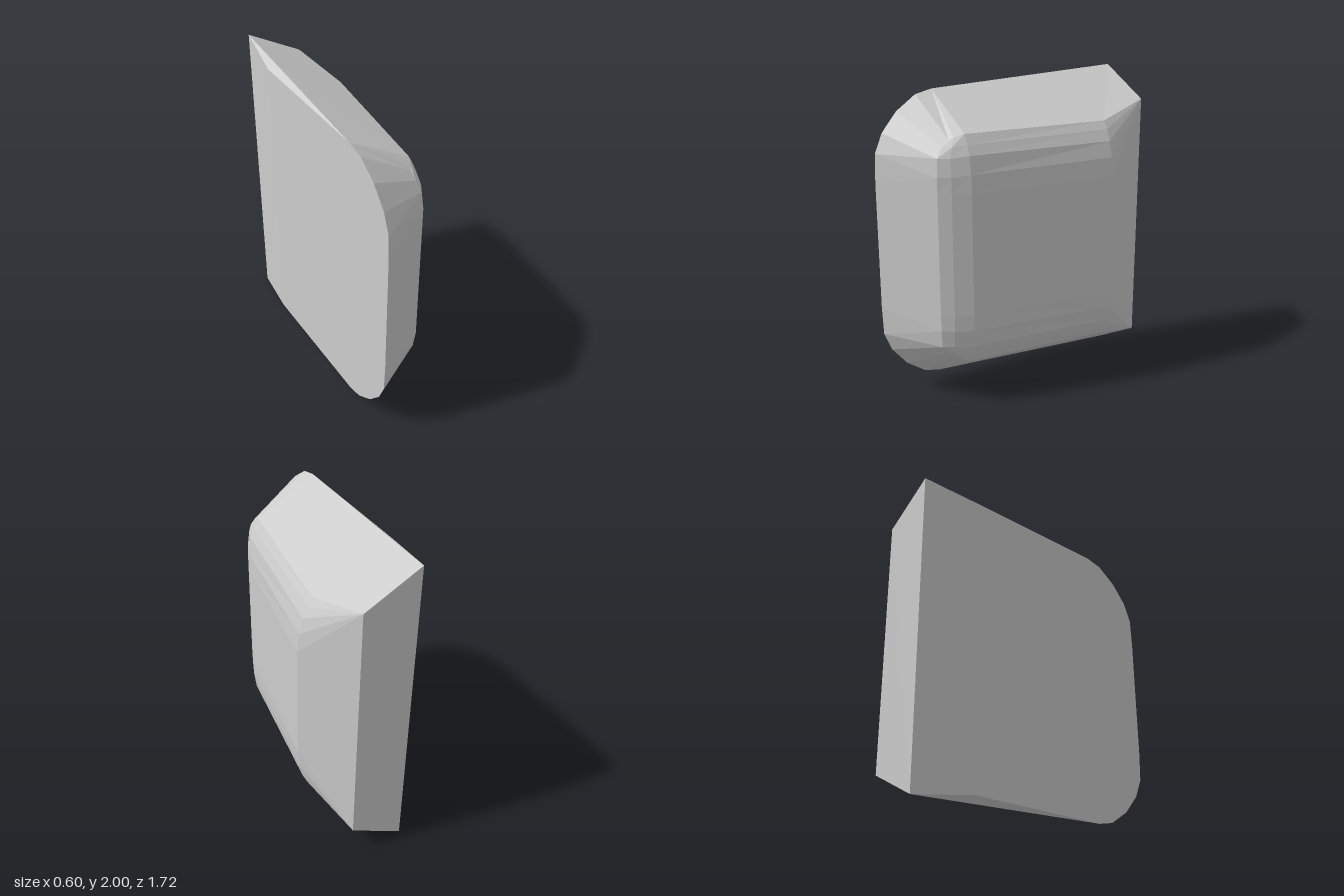
import * as THREE from 'three';

export function createModel() {
  const grey = new THREE.MeshStandardMaterial({ color: 0xcccccc, flatShading: true });
  grey.name = 'light grey';
  const group = new THREE.Group();
  group.name = 'beveledShell';

  const V = (x, y, z) => new THREE.Vector3(x, y, z);
  const flip = (p) => V(p.x, 2 - p.y, p.z);

  // Each line runs from the back edge, over the ridge, to the front rim
  const backTop = V(-0.24, 2, -0.86), rimBack = V(-0.3, 1.945, -0.48), rimFront = V(-0.3, 1.935, 0.46);
  const backEdge = V(0.11, 1.81, -0.86);
  const edge = [backTop, backTop.clone().lerp(rimFront, 0.29), rimFront, rimFront, rimFront, rimFront];
  const upper = [
    [V(0.2, 1.72, -0.48), V(0.085, 1.72, 0.46), V(0.06, 1.7, 0.52), V(0.04, 1.69, 0.54), V(-0.3, 1.91, 0.57)],
    [V(0.23, 1.67, -0.48), V(0.115, 1.66, 0.46), V(0.085, 1.65, 0.545), V(0.045, 1.65, 0.59), V(-0.3, 1.82, 0.7)],
    [V(0.262, 1.6, -0.48), V(0.14, 1.6, 0.46), V(0.1, 1.59, 0.565), V(0.06, 1.59, 0.63), V(-0.3, 1.7, 0.8)],
    [V(0.285, 1.5, -0.48), V(0.155, 1.49, 0.46), V(0.113, 1.48, 0.57), V(0.07, 1.48, 0.64), V(-0.3, 1.58, 0.85)],
    [V(0.295, 1.38, -0.48), V(0.16, 1.38, 0.46), V(0.115, 1.38, 0.57), V(0.07, 1.38, 0.64), V(-0.3, 1.4, 0.857)],
  ].map((line) => [backEdge, ...line]);
  const half = [edge, ...upper];
  const lines = [...half, ...half.slice().reverse().map((line) => line.map(flip))];

  // Polygons become triangle fans; collapsed triangles are skipped
  function addPart(name, polygons) {
    const points = [];
    for (const poly of polygons) {
      for (let i = 1; i < poly.length - 1; i++) {
        const tri = new THREE.Triangle(poly[0], poly[i], poly[i + 1]);
        if (tri.getArea() > 1e-6) points.push(tri.a, tri.b, tri.c);
      }
    }
    const geometry = new THREE.BufferGeometry().setFromPoints(points);
    geometry.computeVertexNormals();
    const mesh = new THREE.Mesh(geometry, grey);
    mesh.name = name;
    group.add(mesh);
  }

  // Rounded outer shell
  const shell = [];
  for (let j = 0; j < lines.length - 1; j++) {
    for (let s = 0; s < 5; s++) {
      const a = lines[j][s], b = lines[j + 1][s], c = lines[j + 1][s + 1], d = lines[j][s + 1];
      shell.push(j < 6 ? [a, d, c, b] : [d, c, b, a]);
    }
  }
  addPart('outerShell', shell);

  // Small wedges closing the shell to the inner rim
  addPart('rimWedges', [
    [backTop, rimBack, rimFront],
    [flip(rimFront), flip(rimBack), flip(backTop)],
  ]);

  // Flat inner side with its slightly bent rear strip
  const rim = lines.map((line) => line[5]).reverse();
  addPart('innerPanel', [
    [rimBack, flip(rimBack), ...rim],
    [backTop, flip(backTop), flip(rimBack), rimBack],
  ]);

  // Flat back end
  addPart('backPanel', [[backEdge, flip(backEdge), flip(backTop), backTop]]);
  return group;
}
